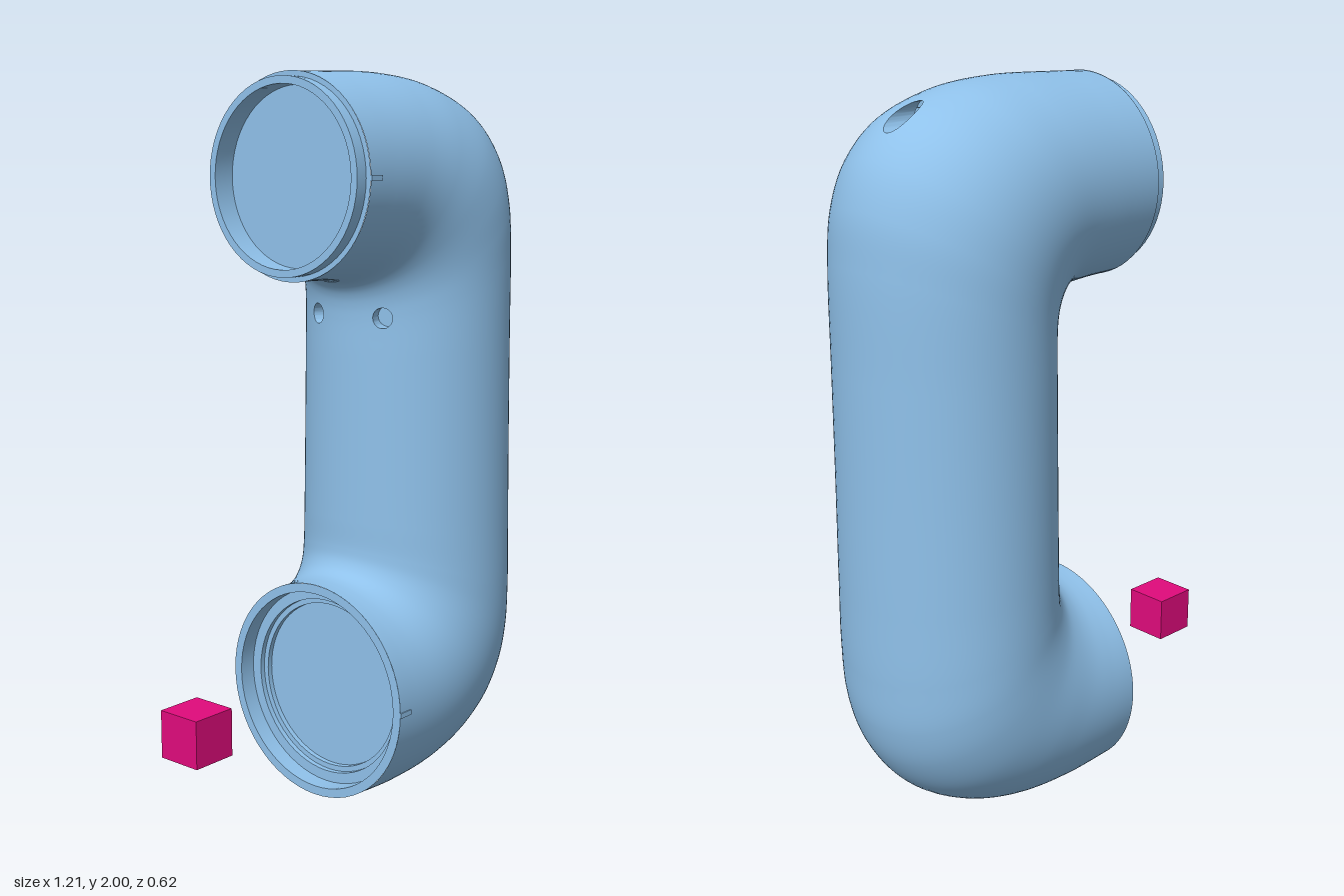
import * as THREE from 'three';
import { toCreasedNormals } from 'three/addons/utils/BufferGeometryUtils.js';

const ROWS = 144, COLS = 96, STEP = 8;

// Cross-sections: outer x, outer y, half depth, inner x, inner y
const SECTIONS = [
  [-0.18, 1.99, 0.27, -0.18, 1.455], [-0.08, 1.995, 0.272, -0.08, 1.452],
  [0.13, 2.0, 0.277, -0.01, 1.445], [0.29, 1.982, 0.286, 0.01, 1.437],
  [0.44, 1.925, 0.296, 0.025, 1.42], [0.53, 1.835, 0.3, 0.034, 1.4],
  [0.577, 1.72, 0.3, 0.039, 1.375], [0.592, 1.58, 0.299, 0.041, 1.34],
  [0.595, 1.3, 0.3, 0.04, 1.24], [0.597, 1.0, 0.303, 0.038, 1.0],
  [0.6, 0.7, 0.307, 0.036, 0.78], [0.6, 0.5, 0.31, 0.035, 0.7],
  [0.59, 0.36, 0.311, 0.03, 0.67], [0.555, 0.25, 0.312, 0.02, 0.65],
  [0.48, 0.145, 0.312, 0.008, 0.637], [0.36, 0.065, 0.311, -0.01, 0.627],
  [0.22, 0.02, 0.308, -0.03, 0.622], [0.06, 0.005, 0.306, -0.055, 0.62],
  [-0.09, 0.01, 0.305, -0.09, 0.62],
];
const outer = new THREE.CatmullRomCurve3(SECTIONS.map(s => new THREE.Vector3(s[0], s[1], s[2])));
const inner = new THREE.CatmullRomCurve3(SECTIONS.map(s => new THREE.Vector3(s[3], s[4], 0)));

// Point on the tube: row runs along it, col runs around it (0 = outer side)
function surface(row, col) {
  const u = THREE.MathUtils.clamp(row / ROWS, 0, 1), a = (col / COLS) * Math.PI * 2;
  const o = outer.getPoint(u), i = inner.getPoint(u), c = Math.cos(a);
  return new THREE.Vector3(
    (o.x + i.x) / 2 + ((o.x - i.x) / 2) * c,
    (o.y + i.y) / 2 + ((o.y - i.y) / 2) * c,
    o.z * Math.sin(a));
}
function surfaceNormal(row, col) {
  const e = 0.1;
  const du = surface(row + e, col).sub(surface(row - e, col));
  const dv = surface(row, col + e).sub(surface(row, col - e));
  return dv.cross(du).normalize();
}

// Surface mesh from a grid of [row, col] parameters, leaving out skipped cells
function gridGeometry(params, skip = () => false) {
  const pos = [], nor = [], idx = [], w = params[0].length;
  params.flat().forEach(([r, c]) => {
    pos.push(...surface(r, c).toArray());
    nor.push(...surfaceNormal(r, c).toArray());
  });
  for (let i = 0; i < params.length - 1; i++) {
    for (let j = 0; j < w - 1; j++) {
      if (skip(i, j)) continue;
      const a = i * w + j, b = a + 1, c = a + w, d = c + 1;
      idx.push(a, b, c, b, d, c);
    }
  }
  const g = new THREE.BufferGeometry();
  g.setAttribute('position', new THREE.Float32BufferAttribute(pos, 3));
  g.setAttribute('normal', new THREE.Float32BufferAttribute(nor, 3));
  g.setIndex(idx);
  return g;
}

// Recessed holes: centre cell, half size of the patch, radius, depth, direction inward
const HOLES = [
  { name: 'upperScrewHole', row: 4 * STEP, col: 0, hr: 8, hc: 4, r: 0.033, depth: 0.08, dir: new THREE.Vector3(-1, 0, 0) },
  { name: 'lowerScrewHole', row: 15 * STEP, col: 0, hr: 8, hc: 4, r: 0.033, depth: 0.11, dir: new THREE.Vector3(-1, 0, 0) },
  { name: 'leftPinHole', row: 7 * STEP, col: 42, hr: 12, hc: 4, r: 0.028, depth: 0.05 },
  { name: 'rightPinHole', row: 7 * STEP, col: 54, hr: 12, hc: 4, r: 0.028, depth: 0.05 },
];

function addHole(group, hole, mat, matDouble) {
  const { row, col, hr, hc, r, depth } = hole;
  const centre = surface(row, col);
  const dir = hole.dir || surfaceNormal(row, col).negate();
  const along = p => p.clone().sub(centre).dot(dir);
  const dist = p => p.clone().sub(centre).addScaledVector(dir, -along(p)).length();

  // Walk round the rectangular patch edge
  const edge = [];
  for (let i = -hc; i < hc; i++) edge.push([-hr, i]);
  for (let i = -hr; i < hr; i++) edge.push([i, hc]);
  for (let i = hc; i > -hc; i--) edge.push([hr, i]);
  for (let i = hr; i > -hr; i--) edge.push([i, -hc]);
  edge.push(edge[0]);

  // Find where each spoke crosses the rim of the hole
  const cuts = edge.map(([a, b]) => {
    let lo = 0, hi = 1;
    for (let k = 0; k < 24; k++) {
      const t = (lo + hi) / 2;
      if (dist(surface(row + a * t, col + b * t)) < r) lo = t; else hi = t;
    }
    return hi;
  });
  const rings = [0, 0.33, 0.66, 1].map(f => edge.map(([a, b], k) => {
    const t = THREE.MathUtils.lerp(1, cuts[k], f);
    return [row + a * t, col + b * t];
  }));
  const patch = new THREE.Mesh(gridGeometry(rings), mat);
  patch.name = hole.name + 'Surround';
  group.add(patch);

  // Wall and flat floor
  const tris = [], rim = rings[3].map(([a, b]) => surface(a, b));
  const base = rim.map(p => p.clone().addScaledVector(dir, depth - along(p)));
  const floor = centre.clone().addScaledVector(dir, depth);
  for (let k = 0; k < rim.length - 1; k++) {
    tris.push(rim[k], rim[k + 1], base[k], rim[k + 1], base[k + 1], base[k], base[k], base[k + 1], floor);
  }
  const g = new THREE.BufferGeometry().setFromPoints(tris);
  const well = new THREE.Mesh(toCreasedNormals(g, 0.6), matDouble);
  well.name = hole.name;
  group.add(well);
}

// Turned part about the x axis, profile given as [x, radius]
function turned(name, profile, y, mat) {
  const g = new THREE.LatheGeometry(profile.map(([x, r]) => new THREE.Vector2(r, -x)), 64);
  const m = new THREE.Mesh(toCreasedNormals(g, 0.6), mat);
  m.name = name;
  m.rotation.z = Math.PI / 2;
  m.position.y = y;
  return m;
}

export function createModel() {
  const model = new THREE.Group();
  model.name = 'elbowJointLink';
  const blue = new THREE.MeshStandardMaterial({ color: 0x8fc1ea });
  const blueDouble = new THREE.MeshStandardMaterial({ color: 0x8fc1ea, side: THREE.DoubleSide });
  const pink = new THREE.MeshStandardMaterial({ color: 0xe00b7c });

  // Main bent tube, with cells left open for the hole patches
  const params = Array.from({ length: ROWS + 1 }, (_, i) => Array.from({ length: COLS + 1 }, (_, j) => [i, j]));
  const inPatch = (i, j) => HOLES.some(h => {
    const dc = (j - h.col + h.hc + COLS) % COLS;
    return i >= h.row - h.hr && i < h.row + h.hr && dc < 2 * h.hc;
  });
  const body = new THREE.Mesh(gridGeometry(params, inPatch), blue);
  body.name = 'bentTube';
  model.add(body);
  HOLES.forEach(h => addHole(model, h, blue, blueDouble));

  // Screw head in the upper hole
  const screw = new THREE.Mesh(new THREE.CylinderGeometry(0.019, 0.019, 0.02, 6), blue);
  screw.name = 'screwHead';
  screw.rotation.z = Math.PI / 2;
  screw.position.set(0.37, 1.925, 0);
  model.add(screw);

  // Upper mouth: stepped collar with a recessed plate
  model.add(turned('upperCollar', [
    [-0.18, 0.269], [-0.18, 0.255], [-0.215, 0.255], [-0.215, 0.235], [-0.15, 0.235], [-0.15, 0],
  ], 1.7225, blueDouble));

  // Lower mouth: rim, stepped seat and recessed plate
  model.add(turned('lowerSocket', [
    [-0.09, 0.305], [-0.09, 0.28], [-0.04, 0.28], [-0.04, 0.25],
    [-0.025, 0.25], [-0.025, 0.235], [-0.01, 0.235], [-0.01, 0],
  ], 0.315, blueDouble));

  // Small alignment marks beside the mouths
  [[-0.158, 1.723, 0.27], [-0.068, 0.315, 0.305]].forEach(([x, y, z]) => {
    const mark = new THREE.Mesh(new THREE.BoxGeometry(0.044, 0.014, 0.006), blue);
    mark.name = 'alignmentMark';
    mark.position.set(x, y, z);
    model.add(mark);
  });

  // Separate marker cube
  const cube = new THREE.Mesh(new THREE.BoxGeometry(0.127, 0.127, 0.127), pink);
  cube.name = 'markerCube';
  cube.position.set(-0.544, 0.325, 0);
  model.add(cube);

  return model;
}
